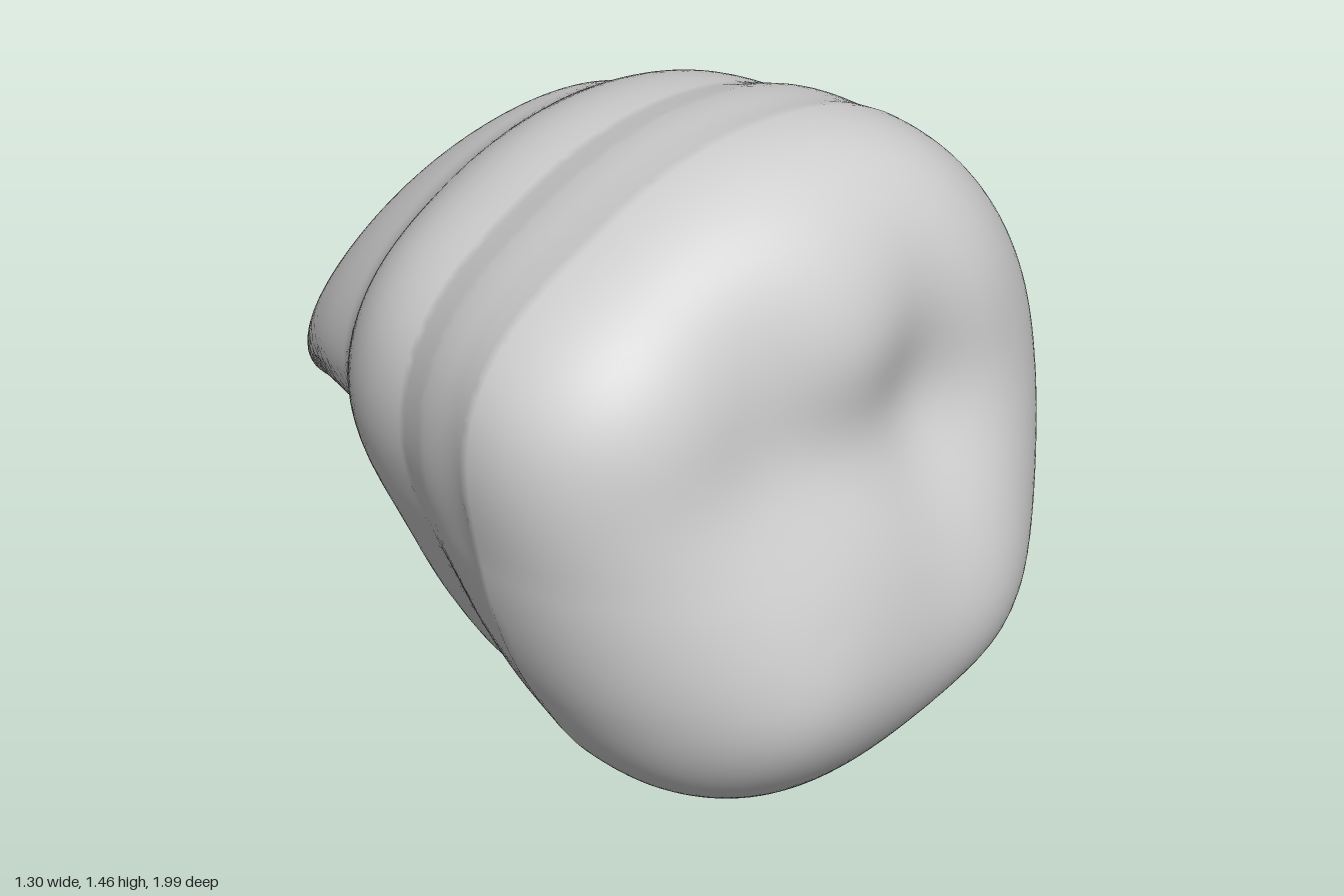
import * as THREE from 'three';

// A limb is a stack of tilted sections along z with rounded ends.
// Each section: z, centre x, centre y, radius along, radius across, tilt in degrees.
// The outline gives the relative radius of a section at each angle.
function limb(sections, backCap, frontCap, power, outline) {
  const zs = sections.map((s) => s[0]);
  const curve = new THREE.CubicInterpolant(zs, sections.flatMap((s) => s.slice(1)), 5);
  const z0 = zs[0], z1 = zs[zs.length - 1];
  return (x, y, z) => {
    const [cx, cy, rx, ry, tilt] = curve.evaluate(THREE.MathUtils.clamp(z, z0, z1));
    const a = THREE.MathUtils.degToRad(tilt), c = Math.cos(a), s = Math.sin(a);
    const dx = x - cx, dy = y - cy;
    const u = (dx * c + dy * s) / rx, v = (dy * c - dx * s) / ry;
    const w = Math.max(0, (z0 - z) / backCap, (z - z1) / frontCap);
    const ring = Math.hypot(u, v) / outline(Math.atan2(v, u));
    return ((ring ** power + w ** power) ** (1 / power) - 1) * Math.min(rx, ry);
  };
}

// Crown outline: radius every 30 degrees from -180 to 180, run on past both ends
const radii = [0.615, 0.595, 0.64, 0.67, 0.615, 0.63, 0.645, 0.68, 0.705, 0.68, 0.675, 0.715];
const wrapped = Array.from({ length: 17 }, (_, i) => radii[(i + 10) % 12] / 0.66);
const crownCurve = new THREE.CubicInterpolant(wrapped.map((_, i) => (i - 8) * Math.PI / 6), wrapped, 1);
const crownOutline = (a) => crownCurve.evaluate(a)[0];

// The upper root is hollowed along its underside
const hollow = (a) => 1 - 0.17 * Math.exp(-(((a + 1.3) / 0.55) ** 2));
const oval = () => 1;

const crown = limb([
  [0.2, 0.04, 0.74, 0.565, 0.6, 0],
  [0.35, 0.015, 0.765, 0.615, 0.64, 0],
  [0.5, 0.0, 0.78, 0.66, 0.66, 0],
], 0.42, 0.42, 2.4, crownOutline);

const upperRoot = limb([
  [-0.985, 0.205, 0.415, 0.045, 0.035, 25],
  [-0.96, 0.2, 0.425, 0.075, 0.052, 25],
  [-0.9, 0.185, 0.46, 0.125, 0.08, 25],
  [-0.7, 0.135, 0.62, 0.265, 0.155, 26],
  [-0.5, 0.1, 0.775, 0.36, 0.205, 28],
  [-0.3, 0.07, 0.88, 0.43, 0.24, 28],
  [0, 0.02, 0.95, 0.49, 0.295, 20],
  [0.3, 0.0, 0.98, 0.54, 0.36, 15],
], 0.015, 0.25, 2.1, hollow);

const lowerRoot = limb([
  [-0.855, 0.37, 0.115, 0.055, 0.05, 35],
  [-0.84, 0.367, 0.116, 0.083, 0.075, 35],
  [-0.8, 0.36, 0.12, 0.115, 0.108, 35],
  [-0.7, 0.34, 0.155, 0.175, 0.135, 35],
  [-0.5, 0.32, 0.235, 0.285, 0.175, 36],
  [-0.3, 0.295, 0.33, 0.39, 0.22, 38],
  [-0.05, 0.25, 0.43, 0.445, 0.275, 39],
  [0.2, 0.19, 0.52, 0.45, 0.3, 40],
], 0.014, 0.25, 2.2, oval);

// Height of the cusps and grooves on the chewing face
const bump = (x, y, cx, cy, sx, sy) => Math.exp(-(((x - cx) / sx) ** 2) - ((y - cy) / sy) ** 2);
function relief(x, y) {
  return 0.1 * bump(x, y, 0.32, 0.44, 0.27, 0.28)
    + 0.105 * bump(x, y, -0.23, 0.46, 0.3, 0.28)
    - 0.065 * bump(x, y, -0.05, 0.96, 0.42, 0.16)
    - 0.05 * bump(x, y, 0.17, 1.0, 0.13, 0.28)
    - 0.035 * bump(x, y, -0.22, 1.15, 0.15, 0.2);
}

function smoothUnion(a, b, k) {
  const h = Math.max(k - Math.abs(a - b), 0) / k;
  return Math.min(a, b) - h * h * k * 0.25;
}

function field(x, y, z) {
  const shift = relief(x, y) * THREE.MathUtils.smoothstep(z, 0.2, 0.8);
  const roots = smoothUnion(upperRoot(x, y, z), lowerRoot(x, y, z), 0.07);
  return smoothUnion(crown(x, y, z - shift), roots, 0.14);
}

function gradient([x, y, z]) {
  const e = 0.006;
  return new THREE.Vector3(
    field(x + e, y, z) - field(x - e, y, z),
    field(x, y + e, z) - field(x, y - e, z),
    field(x, y, z + e) - field(x, y, z - e),
  ).divideScalar(2 * e);
}

// Wraps the zero level of the field in a smooth skin of quads
function skin(min, max, step) {
  const n = min.map((m, i) => Math.ceil((max[i] - m) / step) + 1);
  const stride = [1, n[0], n[0] * n[1]];
  const values = new Float32Array(n[0] * n[1] * n[2]);
  const each = (from, visit) => {
    for (let k = from; k < n[2] - 1; k++)
      for (let j = from; j < n[1] - 1; j++)
        for (let i = from; i < n[0] - 1; i++) visit([i, j, k], i + j * stride[1] + k * stride[2]);
  };
  for (let k = 0, id = 0; k < n[2]; k++)
    for (let j = 0; j < n[1]; j++)
      for (let i = 0; i < n[0]; i++)
        values[id++] = field(min[0] + i * step, min[1] + j * step, min[2] + k * step);

  // One vertex in each cell that the surface crosses
  const positions = [], normals = [], index = [], vertexOf = new Map();
  each(0, (cell, id) => {
    const sum = [0, 0, 0];
    let hits = 0;
    for (let corner = 0; corner < 8; corner++) {
      const bits = [corner & 1, (corner >> 1) & 1, corner >> 2];
      const at = id + bits[0] + bits[1] * stride[1] + bits[2] * stride[2];
      for (let a = 0; a < 3; a++) {
        if (bits[a]) continue;
        const f0 = values[at], f1 = values[at + stride[a]];
        if ((f0 < 0) === (f1 < 0)) continue;
        for (let b = 0; b < 3; b++) sum[b] += bits[b] + (a === b ? f0 / (f0 - f1) : 0);
        hits++;
      }
    }
    if (!hits) return;
    const p = sum.map((s, a) => min[a] + (cell[a] + s / hits) * step);
    const g = gradient(p);
    const move = THREE.MathUtils.clamp(field(...p) / Math.max(g.lengthSq(), 0.05), -step / 2, step / 2);
    vertexOf.set(id, positions.length / 3);
    positions.push(p[0] - g.x * move, p[1] - g.y * move, p[2] - g.z * move);
    normals.push(...g.normalize().toArray());
  });

  // One quad around each grid edge that the surface crosses
  each(1, (cell, id) => {
    for (let a = 0; a < 3; a++) {
      const inside = values[id] < 0;
      if (inside === (values[id + stride[a]] < 0)) continue;
      const b = stride[(a + 1) % 3], c = stride[(a + 2) % 3];
      const q = [id - b - c, id - c, id, id - b].map((v) => vertexOf.get(v));
      if (!inside) q.reverse();
      index.push(q[0], q[1], q[2], q[0], q[2], q[3]);
    }
  });

  const geometry = new THREE.BufferGeometry();
  geometry.setAttribute('position', new THREE.Float32BufferAttribute(positions, 3));
  geometry.setAttribute('normal', new THREE.Float32BufferAttribute(normals, 3));
  geometry.setIndex(index);
  return geometry;
}

export function createModel() {
  const enamel = new THREE.MeshStandardMaterial({ color: 0xd0d0d0 });
  enamel.name = 'enamel';

  const geometry = skin([-0.85, -0.15, -1.15], [0.85, 1.65, 1.2], 0.027);

  // Stand on the ground, centred
  geometry.computeBoundingBox();
  const mid = geometry.boundingBox.getCenter(new THREE.Vector3());
  geometry.translate(-mid.x, -geometry.boundingBox.min.y, -mid.z);

  const tooth = new THREE.Mesh(geometry, enamel);
  tooth.name = 'crownAndRoots';
  const group = new THREE.Group();
  group.name = 'molarTooth';
  group.add(tooth);
  return group;
}
